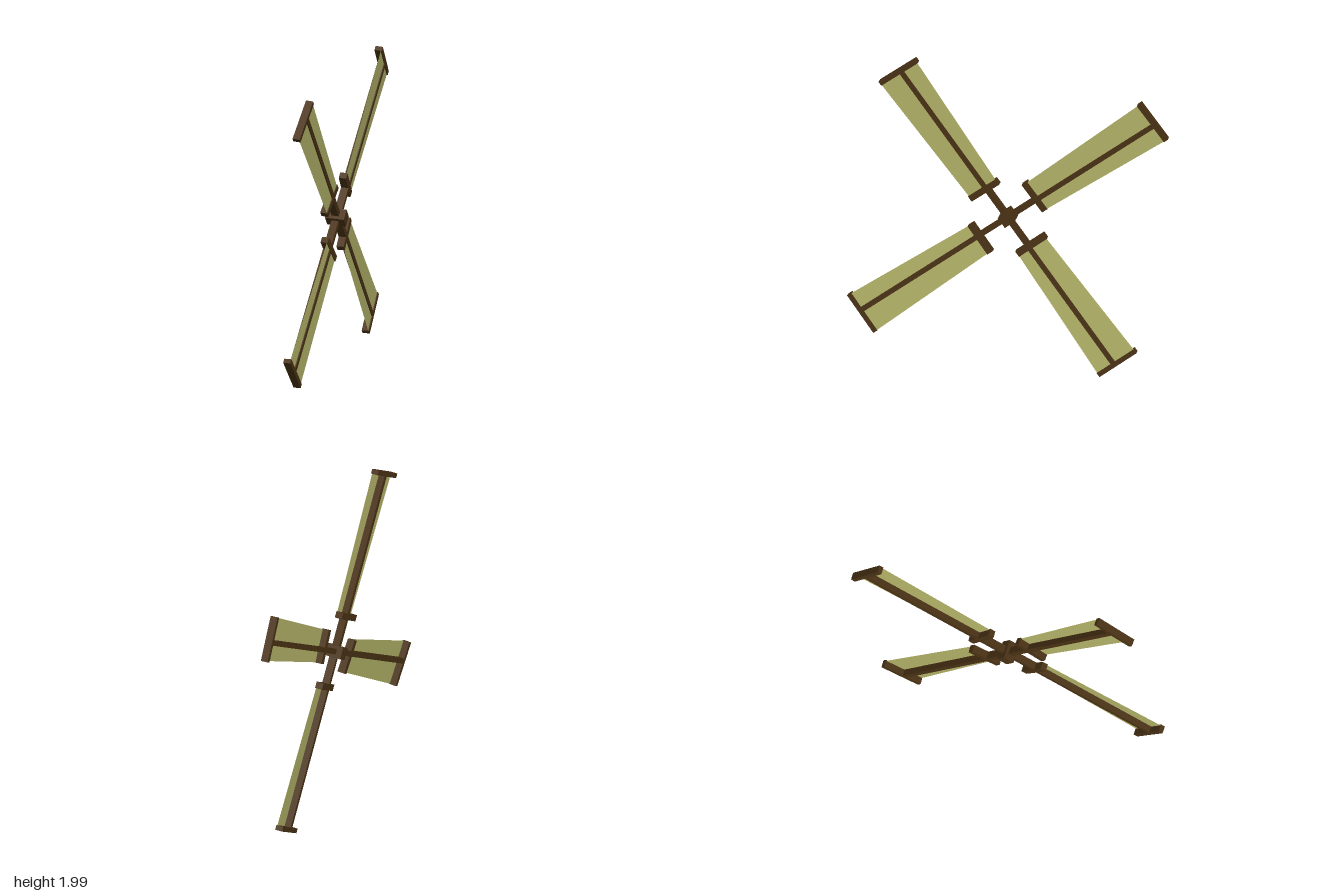
import * as THREE from 'three';

const wood = new THREE.MeshStandardMaterial({ color: 0x4a3214, flatShading: true });
const cloth = new THREE.MeshStandardMaterial({ color: 0xb5b56a, flatShading: true, side: THREE.DoubleSide });

function beam(name, w, h, d, y, z) {
  const mesh = new THREE.Mesh(new THREE.BoxGeometry(w, h, d), wood);
  mesh.name = name;
  mesh.position.set(0, y, z);
  return mesh;
}

// Tapered cloth panel in the local y-z plane, near the +x face of the spar
function sail() {
  const shape = new THREE.Shape([
    new THREE.Vector2(0.122, 0.22), new THREE.Vector2(0.158, 1.125),
    new THREE.Vector2(-0.12, 1.125), new THREE.Vector2(-0.084, 0.22),
  ]);
  const geometry = new THREE.ShapeGeometry(shape);
  geometry.rotateY(-Math.PI / 2); // shape x runs along z
  const mesh = new THREE.Mesh(geometry, cloth);
  mesh.name = 'sailCloth';
  mesh.position.x = 0.017;
  return mesh;
}

// One blade reaching along +y from the hub
function blade() {
  const group = new THREE.Group();
  group.name = 'blade';
  group.add(
    beam('spar', 0.046, 1.13, 0.032, 0.565, 0),
    beam('innerCrossbar', 0.046, 0.04, 0.213, 0.223, 0.02),
    beam('endCrossbar', 0.046, 0.03, 0.282, 1.128, 0.019),
    sail(),
  );
  return group;
}

export function createModel() {
  const model = new THREE.Group();
  model.name = 'windmillSails';

  const rotor = new THREE.Group();
  rotor.name = 'rotor';
  rotor.position.y = 1;
  model.add(rotor);

  // Square hub, turned in line with the blades
  const tilt = THREE.MathUtils.degToRad(36);
  const hub = beam('hub', 0.12, 0.075, 0.075, 0, 0);
  hub.rotation.x = tilt;
  rotor.add(hub);

  // Four blades, with a slight pitch about each spar
  const pitch = [-0.05, 0.05, -0.05, 0.05];
  pitch.forEach((p, i) => {
    const b = blade();
    b.rotation.set(tilt + i * Math.PI / 2, p, 0);
    rotor.add(b);
  });
  return model;
}
